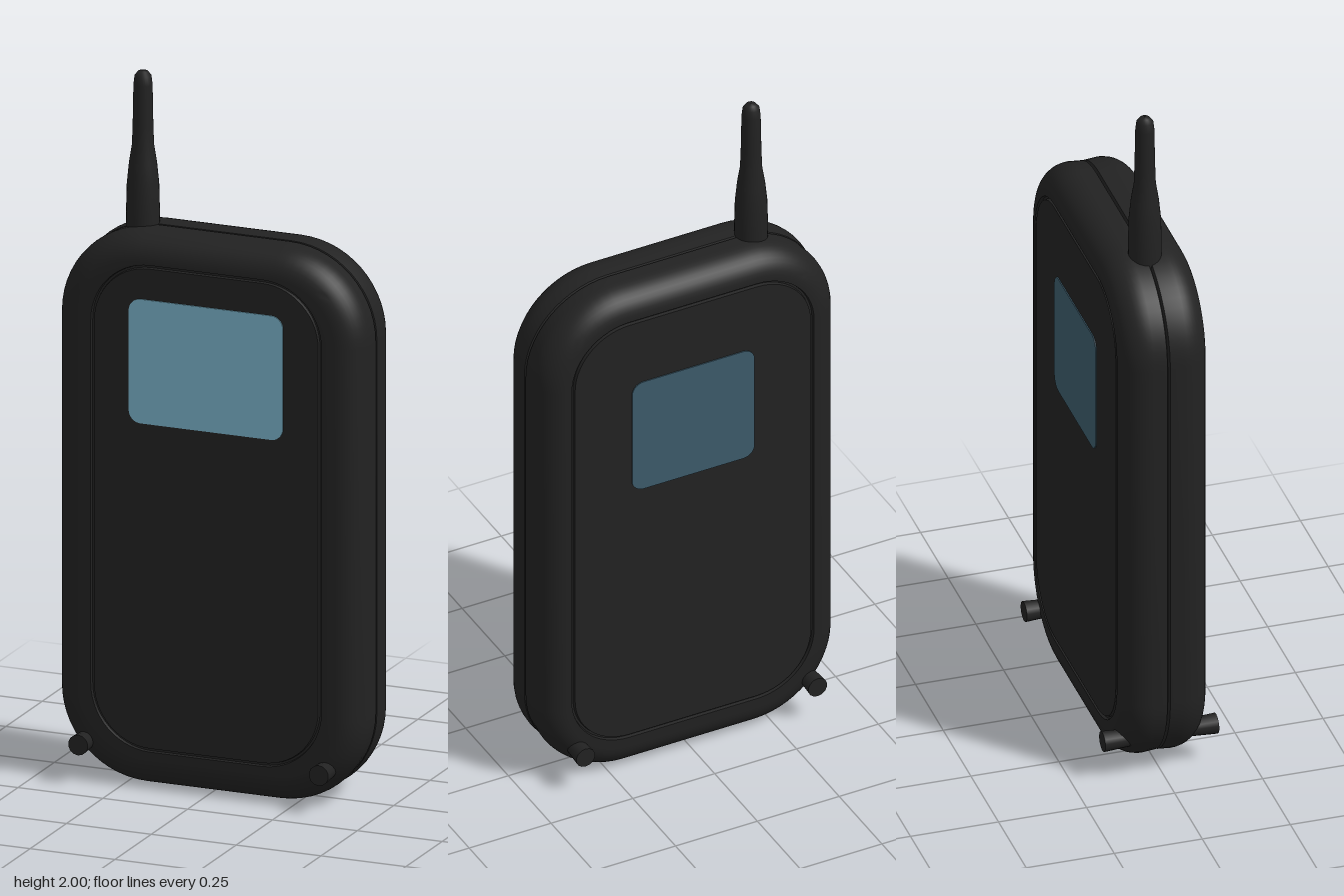
import * as THREE from 'three';
import { toCreasedNormals } from 'three/addons/utils/BufferGeometryUtils.js';

const CORNER = 14;

// Points of a rounded rectangle, counter-clockwise, centred on x = 0
function roundedRect(w, y0, y1, r) {
  const centres = [[w - r, y1 - r], [r - w, y1 - r], [r - w, y0 + r], [w - r, y0 + r]];
  return centres.flatMap(([cx, cy], q) => Array.from({ length: CORNER + 1 }, (_, i) => {
    const a = (q + i / CORNER) * Math.PI / 2;
    return new THREE.Vector2(cx + r * Math.cos(a), cy + r * Math.sin(a));
  }));
}

// Half of the case: rings from the seam, round the edge, into the panel groove
function halfShell(panelW) {
  const rings = [];
  const addOuter = (inset, z) => rings.push([roundedRect(0.452 - inset, 0.005 + inset, 1.572 - inset, 0.255 - inset), z]);
  const addPanel = (inset, z) => rings.push([roundedRect(panelW - inset, 0.11 + inset, 1.49 - inset, 0.175 - inset), z]);
  addOuter(0.014, 0);
  addOuter(0.003, 0.004);
  for (let i = 0; i <= 10; i++) {
    const a = i / 10 * Math.PI / 2;
    addOuter(0.076 * (1 - Math.cos(a)), 0.042 + 0.081 * Math.sin(a));
  }
  addPanel(0, 0.123);
  addPanel(0.002, 0.114);
  addPanel(0.008, 0.114);
  addPanel(0.01, 0.123);

  const pos = [], index = [], n = rings[0][0].length;
  for (const [pts, z] of rings) for (const p of pts) pos.push(p.x, p.y, z);
  for (let k = 0; k < rings.length - 1; k++) {
    for (let i = 0; i < n; i++) {
      const a = k * n + i, b = k * n + (i + 1) % n;
      index.push(a, b, b + n, a, b + n, a + n);
    }
  }
  // Flat panel face
  const last = (rings.length - 1) * n, centre = pos.length / 3;
  pos.push(0, 0.8, 0.123);
  for (let i = 0; i < n; i++) index.push(last + i, last + (i + 1) % n, centre);

  const g = new THREE.BufferGeometry();
  g.setAttribute('position', new THREE.Float32BufferAttribute(pos, 3));
  g.setIndex(index);
  return toCreasedNormals(g, 0.6);
}

// Thin rounded plate lying on the panel
function plate(w, y0, y1) {
  const shape = new THREE.Shape(roundedRect(w, y0, y1, 0.035));
  return new THREE.ExtrudeGeometry(shape, { depth: 0.005, bevelEnabled: false }).translate(0, 0, 0.121);
}

export function createModel() {
  const model = new THREE.Group();
  model.name = 'handheldDevice';
  const black = new THREE.MeshStandardMaterial({ name: 'black plastic', color: 0x222222 });
  const blue = new THREE.MeshStandardMaterial({ name: 'light blue screen', color: 0x78b0c6 });
  const slate = new THREE.MeshStandardMaterial({ name: 'dark blue screen', color: 0x3d5c6c });

  const add = (name, geometry, material) => {
    const mesh = new THREE.Mesh(geometry, material);
    mesh.name = name;
    model.add(mesh);
    return mesh;
  };

  // Case halves and screens
  add('frontShell', halfShell(0.34), black);
  add('backShell', halfShell(0.37).rotateY(Math.PI), black);
  add('frontScreen', plate(0.227, 1.04, 1.392), blue);
  add('backScreen', plate(0.187, 0.925, 1.28).rotateY(Math.PI), slate);

  // Antenna
  const profile = [[0.045, 1.54], [0.046, 1.6], [0.044, 1.68], [0.038, 1.74], [0.03, 1.79],
    [0.028, 1.85], [0.026, 1.96], [0.023, 1.985], [0.014, 1.997], [0, 2]];
  const antenna = new THREE.LatheGeometry(profile.map(([x, y]) => new THREE.Vector2(x, y)), 28);
  add('antenna', antenna, black).position.set(-0.24, 0, -0.003);

  // Small pegs at the lower corners, front and back
  for (const side of [1, -1]) {
    for (const x of [-0.361, 0.348]) {
      const peg = new THREE.CylinderGeometry(0.029, 0.024, 0.085, 14).rotateX(side * Math.PI / 2);
      add(side > 0 ? 'frontPeg' : 'backPeg', peg, black).position.set(x, 0.117, side * 0.119);
    }
  }
  return model;
}
